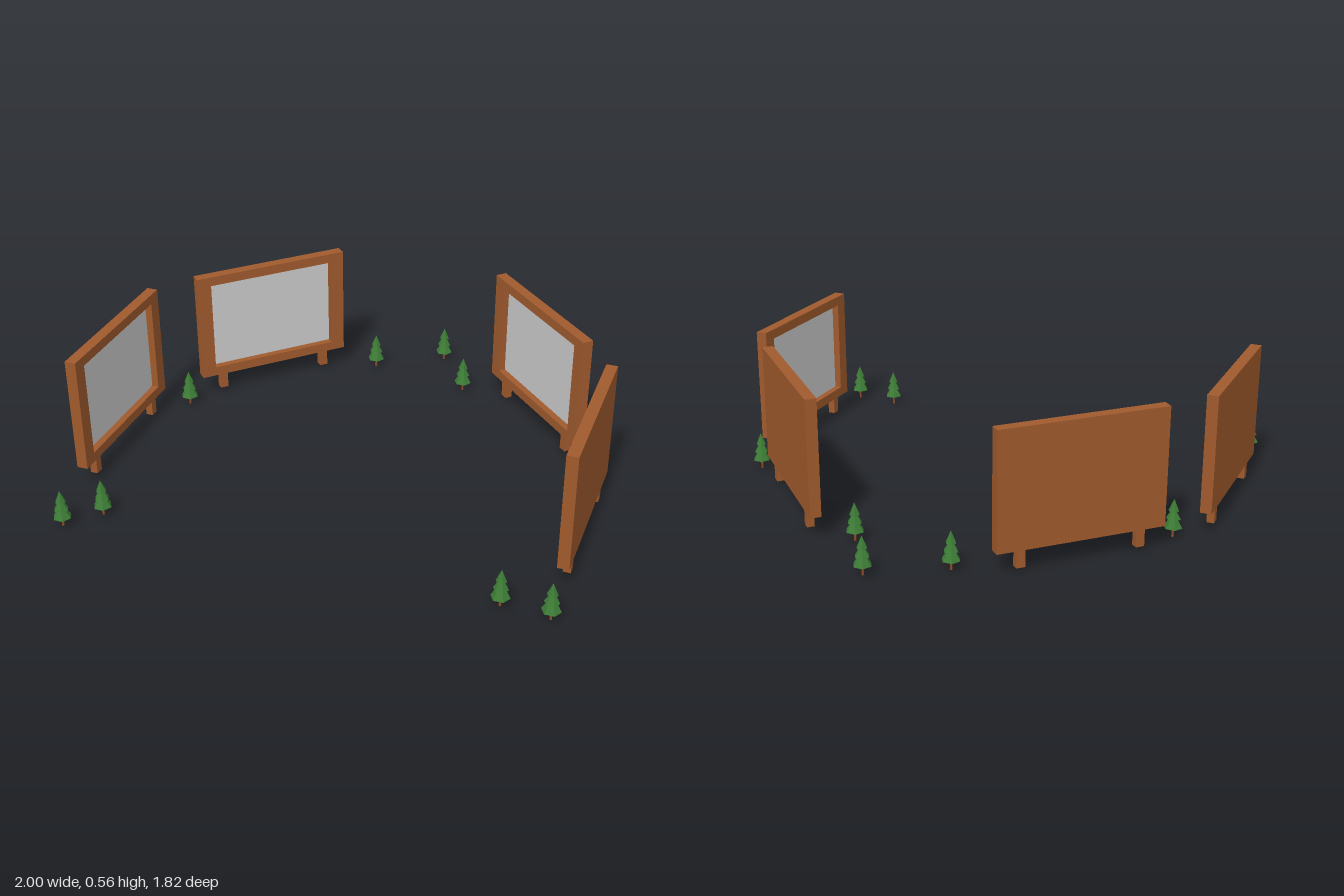
import * as THREE from 'three';

const wood = new THREE.MeshStandardMaterial({ color: 0xa05a2d });
const screenMat = new THREE.MeshStandardMaterial({ color: 0xcccccc });
const leaf = new THREE.MeshStandardMaterial({ color: 0x3c7a35, flatShading: true });
const bark = new THREE.MeshStandardMaterial({ color: 0x8a4a25, flatShading: true });

const W = 0.675, H = 0.475, D = 0.045; // board outer size
const BX = 0.06, BY = 0.04;            // frame borders
const BACK = 0.012;                    // back panel thickness
const BASE = 0.09, FOOT = 0.018;       // board underside and foot heights

function mesh(name, geometry, material, x = 0, y = 0, z = 0) {
  const m = new THREE.Mesh(geometry, material);
  m.name = name;
  m.position.set(x, y, z);
  return m;
}

function rect(PathType, w, h) {
  return new PathType([
    new THREE.Vector2(-w / 2, -h / 2), new THREE.Vector2(w / 2, -h / 2),
    new THREE.Vector2(w / 2, h / 2), new THREE.Vector2(-w / 2, h / 2),
  ]);
}

// Framed board on two short legs, screen towards local +z
function createBoard(name) {
  const board = new THREE.Group();
  board.name = name;
  const midY = BASE + H / 2;

  const outline = rect(THREE.Shape, W, H);
  outline.holes.push(rect(THREE.Path, W - 2 * BX, H - 2 * BY));
  const frame = new THREE.ExtrudeGeometry(outline, { depth: D - BACK, bevelEnabled: false });
  board.add(mesh('frame', frame, wood, 0, midY, -D / 2 + BACK));
  board.add(mesh('backPanel', new THREE.BoxGeometry(W, H, BACK), wood, 0, midY, -D / 2 + BACK / 2));
  board.add(mesh('screen', new THREE.BoxGeometry(W - 2 * BX, H - 2 * BY, 0.004), screenMat,
    0, midY, -D / 2 + BACK + 0.002));

  const legHeight = BASE - FOOT;
  for (const side of [-1, 1]) {
    board.add(mesh(side > 0 ? 'leftLeg' : 'rightLeg', new THREE.BoxGeometry(0.035, legHeight, 0.03), wood,
      side * 0.24, FOOT + legHeight / 2, 0));
  }
  return board;
}

// Three-tier low-poly conifer
function createTree(name) {
  const tree = new THREE.Group();
  tree.name = name;
  tree.add(mesh('trunk', new THREE.CylinderGeometry(0.004, 0.005, 0.05, 6), bark, 0, 0.025, 0));
  const tiers = [[0.037, 0.04, 0.06], [0.029, 0.075, 0.05], [0.021, 0.108, 0.049]]; // radius, base, height
  tiers.forEach(([radius, base, height], i) => {
    const cone = new THREE.ConeGeometry(radius, height, 6, 1, false, Math.PI / 6);
    tree.add(mesh(`foliage${i + 1}`, cone, leaf, 0, base + height / 2, 0));
  });
  return tree;
}

export function createModel() {
  const model = new THREE.Group();
  model.name = 'outdoorScreens';

  // Four boards in a horseshoe, all facing its middle
  const axisX = -0.011;
  for (const side of [-1, 1]) {
    const label = side > 0 ? 'left' : 'right';
    const sideBoard = createBoard(`${label}SideBoard`);
    sideBoard.position.set(axisX + side * 0.967, 0, 0.277);
    sideBoard.rotation.y = -side * Math.PI / 2;
    const angledBoard = createBoard(`${label}AngledBoard`);
    angledBoard.position.set(axisX + side * 0.604, 0, -0.452);
    angledBoard.rotation.y = -side * Math.PI / 4;
    model.add(sideBoard, angledBoard);
  }

  // Scattered trees
  const spots = [
    [0.056, -0.88], [-0.217, -0.714], [0.217, -0.637],
    [-0.87, -0.12], [0.92, -0.165], [-0.815, 0.755],
    [-0.924, 0.872], [0.773, 0.777], [0.959, 0.79],
  ];
  spots.forEach(([x, z], i) => {
    const tree = createTree(`tree${i + 1}`);
    tree.position.set(x, 0, z);
    model.add(tree);
  });

  return model;
}
